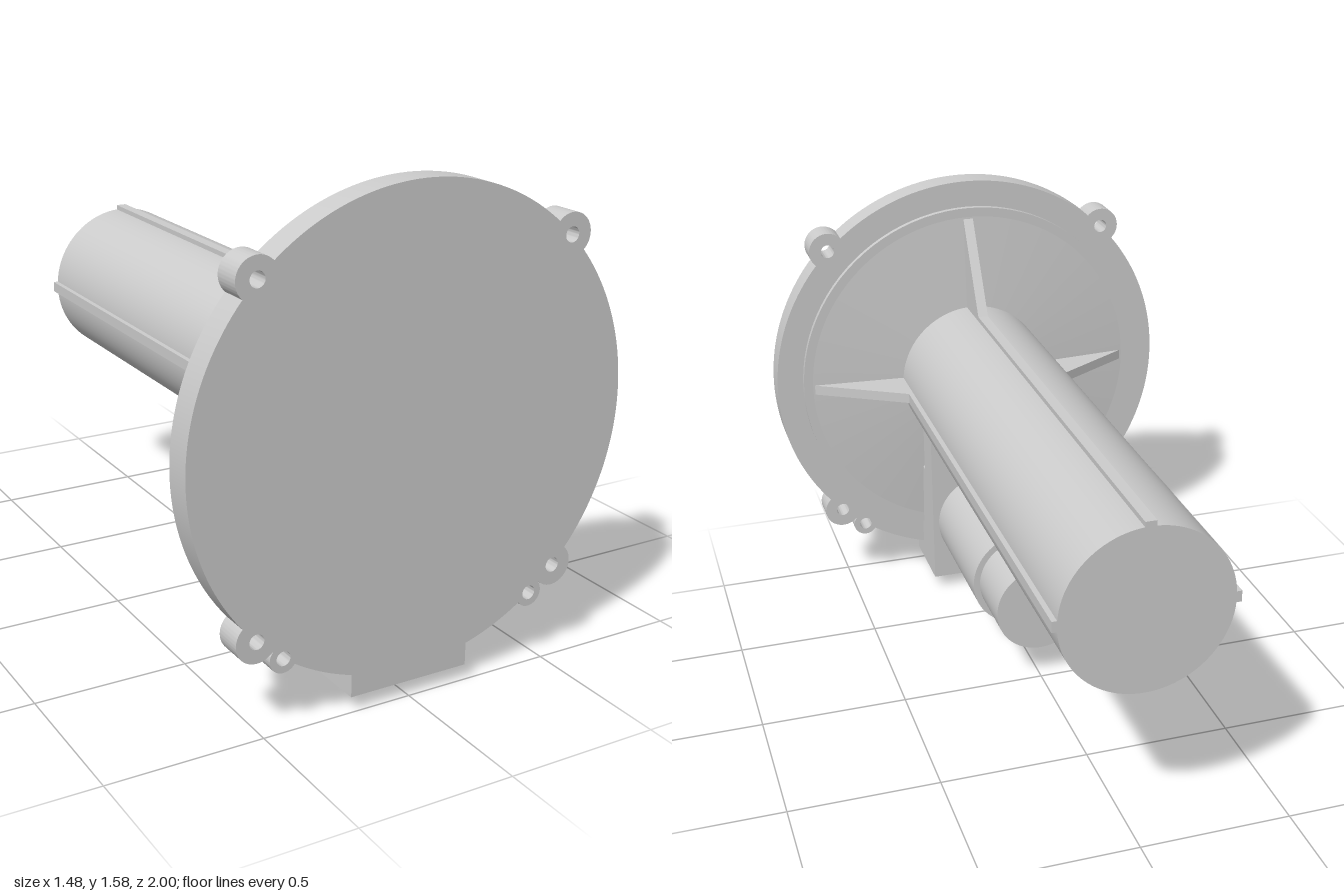
import * as THREE from 'three';
import { toCreasedNormals } from 'three/addons/utils/BufferGeometryUtils.js';

const material = new THREE.MeshStandardMaterial({ color: 0xcccccc });
const AXIS_Y = 0.835; // height of the main axis
const R = 0.74;       // flange radius

function add(parent, name, geometry, x = 0, y = 0, z = 0) {
  const mesh = new THREE.Mesh(geometry, material);
  mesh.name = name;
  mesh.position.set(x, y, z);
  parent.add(mesh);
  return mesh;
}

// Round part lying along z, from z0 (radius r0) to z1 (radius r1)
function addRound(parent, name, y, z0, z1, r0, r1 = r0) {
  const geometry = new THREE.CylinderGeometry(r1, r0, z1 - z0, 96).rotateX(Math.PI / 2);
  return add(parent, name, geometry, 0, y, (z0 + z1) / 2);
}

function polygon(points) {
  return new THREE.Shape(points.map(([x, y]) => new THREE.Vector2(x, y)));
}

// Disc outline broken by drilled lugs centred on its rim
function flangeGeometry() {
  const lugs = [];
  for (const [x, y, r, hole] of [
    [0.525, 0.525, 0.067, 0.024],
    [0.525, -0.525, 0.067, 0.024],
    [0.437, -0.598, 0.045, 0.023],
  ]) {
    for (const side of [1, -1]) {
      const a = (Math.atan2(y, side * x) + 2 * Math.PI) % (2 * Math.PI);
      lugs.push({ a, r, hole, half: 2 * Math.asin(r / (2 * R)) });
    }
  }
  lugs.sort((p, q) => p.a - q.a);

  const shape = new THREE.Shape();
  lugs.forEach(({ a, r, hole, half }, i) => {
    const cx = R * Math.cos(a), cy = R * Math.sin(a);
    const turn = half / 2 + Math.PI / 2;
    shape.absarc(cx, cy, r, a - turn, a + turn, false);
    const next = lugs[(i + 1) % lugs.length];
    const end = next.a - next.half + (i === lugs.length - 1 ? 2 * Math.PI : 0);
    shape.absarc(0, 0, R, a + half, end, false);
    const drill = new THREE.Path();
    drill.absarc(cx, cy, hole, 0, 2 * Math.PI, true);
    shape.holes.push(drill);
  });
  const geometry = new THREE.ExtrudeGeometry(shape, { depth: 0.095, bevelEnabled: false, curveSegments: 20 });
  return toCreasedNormals(geometry, 0.5);
}

export function createModel() {
  const model = new THREE.Group();
  model.name = 'flangedDriveUnit';

  // Flange with a stepped, slightly conical back
  add(model, 'flange', flangeGeometry(), 0, AXIS_Y, 0.905);
  addRound(model, 'flangeStep', AXIS_Y, 0.885, 0.91, 0.645);
  addRound(model, 'flangeCone', AXIS_Y, 0.86, 0.886, 0.27, 0.625);

  // Main barrel
  addRound(model, 'barrel', AXIS_Y, -1, 0.87, 0.272);

  // Three rails along the barrel, each widening to a gusset at the flange
  const ribWidth = 0.036;
  const ribShape = polygon([[0.2, -1], [0.288, -1], [0.288, 0.7], [0.605, 0.885], [0.2, 0.885]]);
  const ribGeometry = new THREE.ExtrudeGeometry(ribShape, { depth: ribWidth, bevelEnabled: false })
    .translate(0, 0, -ribWidth / 2)
    .rotateX(Math.PI / 2);
  ['leftRib', 'topRib', 'rightRib'].forEach((name, i) => {
    add(model, name, ribGeometry, 0, AXIS_Y, 0).rotation.z = i * Math.PI / 2;
  });

  // Gearbox housing: side profile (z, y) extruded across x
  const width = 0.41;
  const housing = polygon([[0.73, 0.05], [0.999, 0.05], [0.999, 0.47], [0.845, 0.47], [0.845, 0.66], [0.73, 0.66]]);
  add(model, 'gearbox', new THREE.ExtrudeGeometry(housing, { depth: width, bevelEnabled: false })
    .translate(0, 0, -width / 2)
    .rotateY(-Math.PI / 2));
  add(model, 'bottomTab', new THREE.BoxGeometry(0.18, 0.07, 0.09), 0, 0.035, 0.865);

  // Motor below the barrel
  addRound(model, 'motorBody', 0.282, 0.225, 0.74, 0.183);
  addRound(model, 'motorEnd', 0.282, 0, 0.23, 0.16);

  return model;
}
